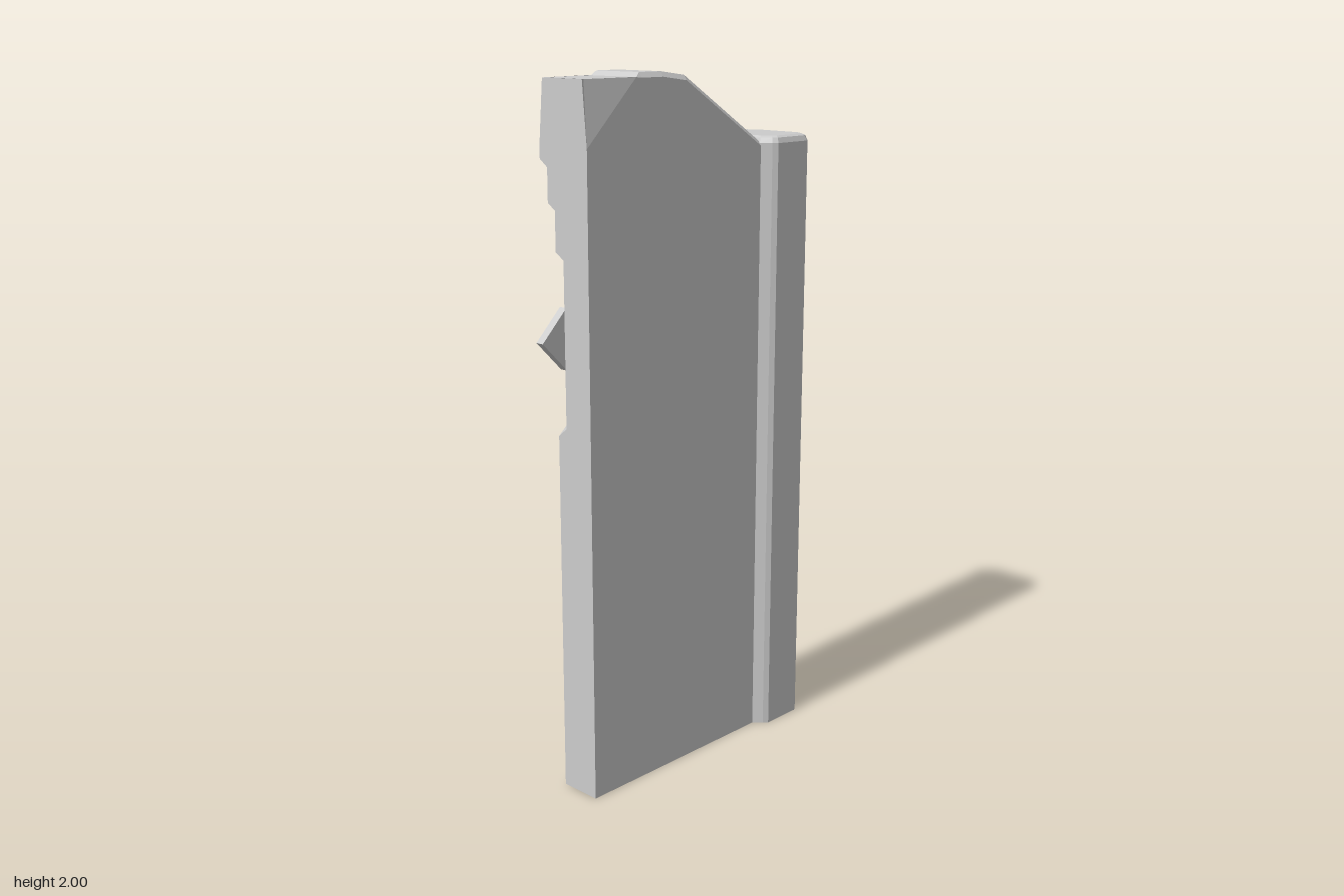
import * as THREE from 'three';

const steel = new THREE.MeshStandardMaterial({ color: 0xcccccc, side: THREE.DoubleSide });
steel.name = 'plain grey';

const EDGE = -0.397, JOIN = 0.28;              // free edge and post side of the leaf
const FRONT = 0.09, BACK = -0.09, BAND = -0.062, PANEL = -0.035, LOCK = -0.005;

const at = (pts, z) => pts.map(([x, y]) => [x, y, z]);

// Flat face from a 2D outline at depth z
function face(pts, z, back) {
  const g = new THREE.ShapeGeometry(new THREE.Shape(pts.map(p => new THREE.Vector2(...p))));
  if (back) g.index.array.reverse();
  g.translate(0, 0, z);
  return g;
}

// Strips joining successive rows of 3D points
function loft(rows, closed) {
  const pos = [];
  for (let r = 0; r < rows.length - 1; r++) {
    const a = rows[r], b = rows[r + 1], n = a.length;
    for (let i = 0; i < (closed ? n : n - 1); i++) {
      const j = (i + 1) % n;
      pos.push(...a[i], ...a[j], ...b[j], ...a[i], ...b[j], ...b[i]);
    }
  }
  const g = new THREE.BufferGeometry();
  g.setAttribute('position', new THREE.Float32BufferAttribute(pos, 3));
  return g;
}

export function createModel() {
  const group = new THREE.Group();
  const add = (name, geo) => {
    const g = geo.index ? geo.toNonIndexed() : geo;
    g.computeVertexNormals();
    const m = new THREE.Mesh(g, steel);
    m.name = name;
    group.add(m);
    return m;
  };

  // Crest of the leaf, and the slightly lower line where its bevel meets the faces
  const crest = [[-0.22, 1.988], [-0.2, 2], [-0.12, 2], [-0.03, 1.988], [JOIN, 1.795]];
  const rim = crest.map(([x, y], i) => [x, i ? y - 0.014 : y]);
  const cornerLow = [EDGE, 1.815], cornerTop = [EDGE + 0.006, 1.988];

  // Front face and the bevelled top
  add('frontFace', face([[EDGE, 0], [JOIN, 0], ...[...rim].reverse(), cornerLow], FRONT));
  add('topEdge', loft([at(rim, FRONT), at(crest, 0.08), at(crest, -0.08), at(rim, BACK)]));
  add('cornerTop', loft([
    [[...cornerTop, 0.075], [-0.22, 1.988, 0.08]],
    [[...cornerTop, -0.075], [-0.22, 1.988, -0.08]]]));
  for (const s of [1, -1]) {
    const tri = [[...cornerLow, 0.09 * s], [-0.22, 1.988, 0.09 * s], [...cornerTop, 0.075 * s]];
    const g = new THREE.BufferGeometry();
    g.setAttribute('position', new THREE.Float32BufferAttribute((s > 0 ? tri : tri.reverse()).flat(), 3));
    add('cornerChamfer', g);
  }

  // Stepped back: each line is given at the higher and at the lower level
  const step1 = [[EDGE, 1.78], [-0.07, 1.78], [JOIN, 1.56]];
  const step1Low = step1.map(([x, y]) => [x, y - 0.02]);
  const step2 = [[EDGE, 1.667], [-0.07, 1.667], [0.152, 1.515], [0.152, 0]];
  const step2Low = [[EDGE, 1.65], [-0.073, 1.65], [0.14, 1.505], [0.14, 0]];
  const lock = [[EDGE, 1.04], [-0.25, 1.175], [-0.145, 1.175], [-0.02, 1.3],
    [-0.045, 1.35], [-0.145, 1.445], [-0.265, 1.445], [EDGE, 1.54]];
  const lockLow = [[EDGE, 1.065], [-0.258, 1.192], [-0.153, 1.192], [-0.04, 1.303],
    [-0.06, 1.343], [-0.152, 1.43], [-0.27, 1.43], [EDGE, 1.522]];

  add('upperBand', face([...step1, ...[...rim].reverse(), cornerLow], BACK, true));
  add('upperStep', loft([at(step1, BACK), at(step1Low, BAND)]));
  add('innerBand', face([...step1Low, [JOIN, 0], ...[...step2].reverse()], BAND, true));
  add('innerStep', loft([at(step2, BAND), at(step2Low, PANEL)]));
  add('backPanel', face([...step2Low, [EDGE, 0], ...lock], PANEL, true));
  add('lockStep', loft([at(lock, PANEL), at(lockLow, LOCK)]));
  add('lockFloor', face(lockLow, LOCK, true));

  // Free edge, following the depth of the back
  const side = face([[FRONT, 0], [FRONT, 1.815], [0.075, 1.988], [-0.075, 1.988], [BACK, 1.815],
    [BACK, 1.78], [BAND, 1.76], [BAND, 1.667], [PANEL, 1.65], [PANEL, 1.54], [LOCK, 1.522],
    [LOCK, 1.065], [PANEL, 1.04], [PANEL, 0]], 0);
  side.rotateY(-Math.PI / 2);
  side.translate(EDGE, 0, 0);
  add('freeEdge', side);

  // Hinge post: chamfered section with softened corners, open underneath
  const half = [[0.275, 0.088], [0.298, 0.115], [0.312, 0.125], [0.438, 0.125],
    [0.45, 0.118], [0.467, 0.095], [0.472, 0.082]];
  const section = [...half, ...half.map(([x, z]) => [x, -z]).reverse()];
  const ring = (y, inset) => section.map(([x, z]) => {
    const cx = 0.3735, kx = 1 - inset / 0.0985, kz = 1 - inset / 0.125;
    return [cx + (x - cx) * kx, y, z * kz];
  });
  add('post', loft([ring(0, 0), ring(1.79, 0), ring(1.805, 0.006), ring(1.81, 0.016)], true));
  const cap = new THREE.ShapeGeometry(new THREE.Shape(
    ring(1.81, 0.016).map(([x, , z]) => new THREE.Vector2(x, -z))));
  cap.rotateX(-Math.PI / 2);
  cap.translate(0, 1.81, 0);
  add('postTop', cap);

  // Diamond latch with a pyramid boss
  const plate = new THREE.CylinderGeometry(0.085, 0.085, 0.025, 4);
  plate.rotateX(-Math.PI / 2);
  add('latchPlate', plate).position.set(-0.39, 1.31, -0.0175);
  const boss = new THREE.ConeGeometry(0.052, 0.045, 4);
  boss.rotateX(-Math.PI / 2);
  add('latchBoss', boss).position.set(-0.39, 1.31, -0.0525);

  return group;
}
